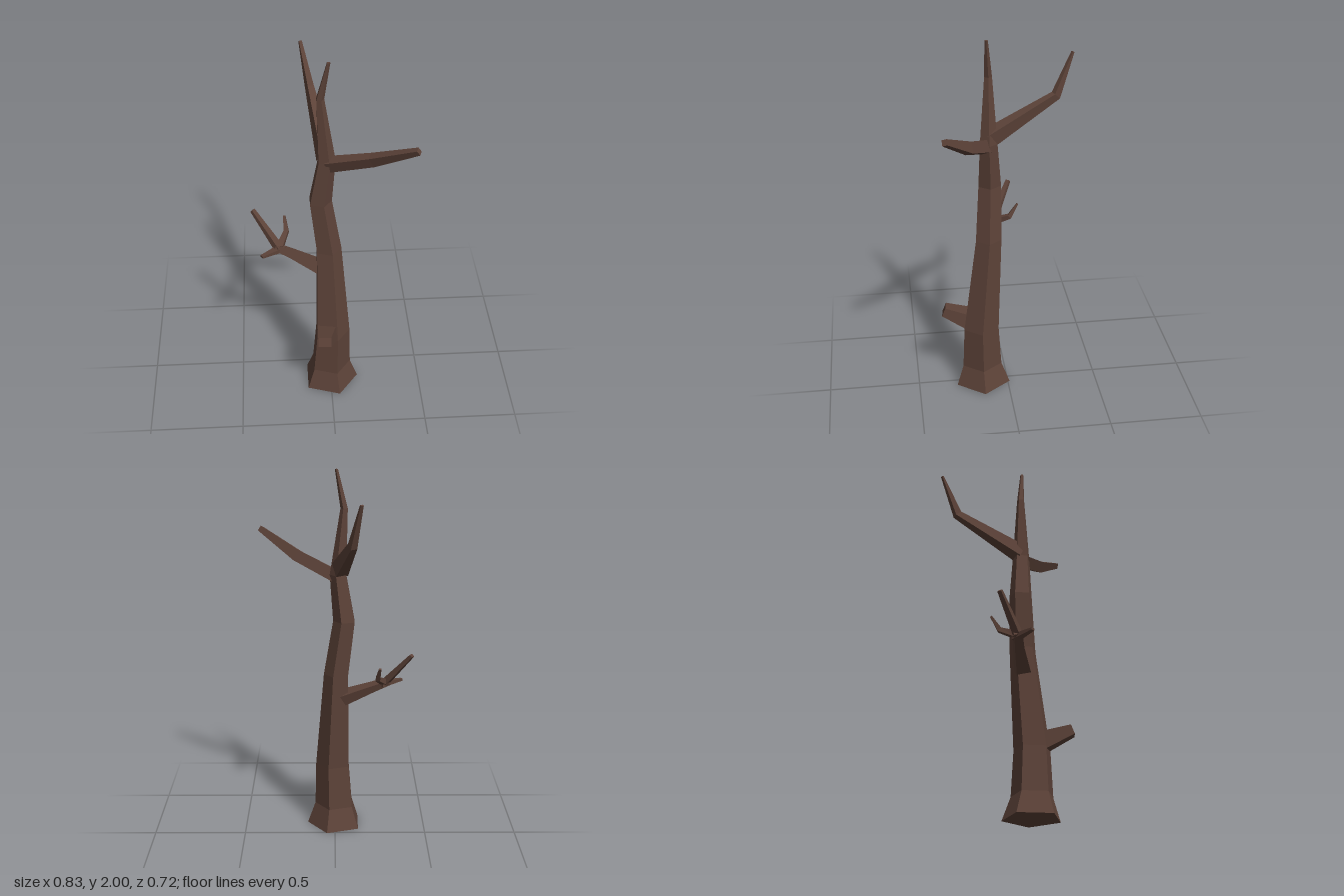
import * as THREE from 'three';

const bark = new THREE.MeshStandardMaterial({ color: 0x5c4238, flatShading: true });
bark.name = 'bark brown';

// Faceted limb through sections [x, y, z, width, height]; axis forces parallel rings
function limb(name, sections, { sides = 4, roll = 0, axis = null } = {}) {
  const pts = sections.map(s => new THREE.Vector3(s[0], s[1], s[2]));
  const last = pts.length - 1;
  const whole = axis ? axis.clone() : pts[last].clone().sub(pts[0]).normalize();
  const side = axis ? new THREE.Vector3(1, 0, 0)
    : new THREE.Vector3(0, 1, 0).cross(whole).normalize();
  const offset = sides === 4 ? Math.PI / 4 : 0;
  const scale = sides === 4 ? Math.SQRT1_2 : 0.5;

  const rings = sections.map((s, i) => {
    const d = axis ? whole : new THREE.Vector3();
    if (!axis) {
      if (i > 0) d.add(pts[i].clone().sub(pts[i - 1]).normalize());
      if (i < last) d.add(pts[i + 1].clone().sub(pts[i]).normalize());
      d.normalize();
    }
    const u = side.clone().addScaledVector(d, -side.dot(d)).normalize();
    const v = d.clone().cross(u);
    return Array.from({ length: sides }, (_, k) => {
      const t = offset + k * 2 * Math.PI / sides;
      const a = Math.cos(t) * s[3] * scale, b = Math.sin(t) * s[4] * scale;
      const c = Math.cos(roll), n = Math.sin(roll);
      return pts[i].clone().addScaledVector(u, a * c - b * n).addScaledVector(v, a * n + b * c);
    });
  });

  const pos = [];
  const tri = (...c) => c.forEach(p => pos.push(p.x, p.y, p.z));
  for (let i = 0; i < last; i++) {
    for (let k = 0; k < sides; k++) {
      const j = (k + 1) % sides, a = rings[i], b = rings[i + 1];
      tri(a[k], a[j], b[j]);
      tri(a[k], b[j], b[k]);
    }
  }
  // End caps
  for (let k = 1; k < sides - 1; k++) {
    tri(rings[0][0], rings[0][k + 1], rings[0][k]);
    tri(rings[last][0], rings[last][k], rings[last][k + 1]);
  }
  const geo = new THREE.BufferGeometry();
  geo.setAttribute('position', new THREE.Float32BufferAttribute(pos, 3));
  geo.computeVertexNormals();
  const mesh = new THREE.Mesh(geo, bark);
  mesh.name = name;
  return mesh;
}

export function createModel() {
  const tree = new THREE.Group();
  tree.name = 'deadTree';

  // Five-sided trunk, flared at the foot and bending to a thin top
  const trunk = [
    [-0.003, 0, 0.138, 0.156],
    [-0.003, 0.12, 0.142, 0.113],
    [0.005, 0.36, 0.145, 0.1],
    [-0.012, 0.9, 0.098, 0.072],
    [-0.053, 1.2, 0.085, 0.063],
    [-0.02, 1.45, 0.092, 0.048],
    [-0.049, 1.8, 0.088, 0.021],
    [-0.008, 2, 0.1, 0.009],
  ].map(([x, y, z, r]) => [x, y, z, 2 * r, 2 * r]);
  tree.add(limb('trunk', trunk, { sides: 5, axis: new THREE.Vector3(0, 1, 0) }));

  // Upper branches
  tree.add(limb('upperLeftBranch', [
    [-0.01, 1.435, 0.105, 0.055, 0.065],
    [0.2, 1.525, 0.215, 0.042, 0.06],
    [0.405, 1.65, 0.345, 0.026, 0.03],
  ], { roll: 0.35 }));
  tree.add(limb('upperBackBranch', [
    [-0.025, 1.475, 0.09, 0.07, 0.08],
    [-0.085, 1.67, -0.265, 0.034, 0.042],
    [-0.126, 1.885, -0.355, 0.016, 0.009],
  ], { roll: 0.15 }));

  // Side branch with three twigs
  const sideBranch = new THREE.Group();
  sideBranch.name = 'sideBranch';
  sideBranch.add(
    limb('sideBranchStem', [
      [-0.03, 0.76, 0.095, 0.08, 0.065],
      [-0.2, 0.838, 0.055, 0.05, 0.04],
      [-0.29, 0.878, 0.04, 0.042, 0.03],
    ], { roll: 0.3 }),
    limb('tallTwig', [
      [-0.27, 0.87, 0.045, 0.04, 0.036],
      [-0.403, 1.05, -0.06, 0.022, 0.018],
    ]),
    limb('frontTwig', [
      [-0.245, 0.865, 0.03, 0.045, 0.03],
      [-0.362, 0.865, 0.108, 0.02, 0.012],
    ]),
    limb('backTwig', [
      [-0.265, 0.872, 0.04, 0.036, 0.034],
      [-0.227, 0.915, -0.045, 0.025, 0.025],
      [-0.236, 0.985, -0.09, 0.013, 0.01],
    ]),
  );
  tree.add(sideBranch);

  // Broken stub on the front
  tree.add(limb('frontStub', [
    [-0.015, 0.385, 0.17, 0.115, 0.1],
    [-0.042, 0.454, 0.345, 0.07, 0.052],
  ], { roll: 0.08 }));

  return tree;
}
